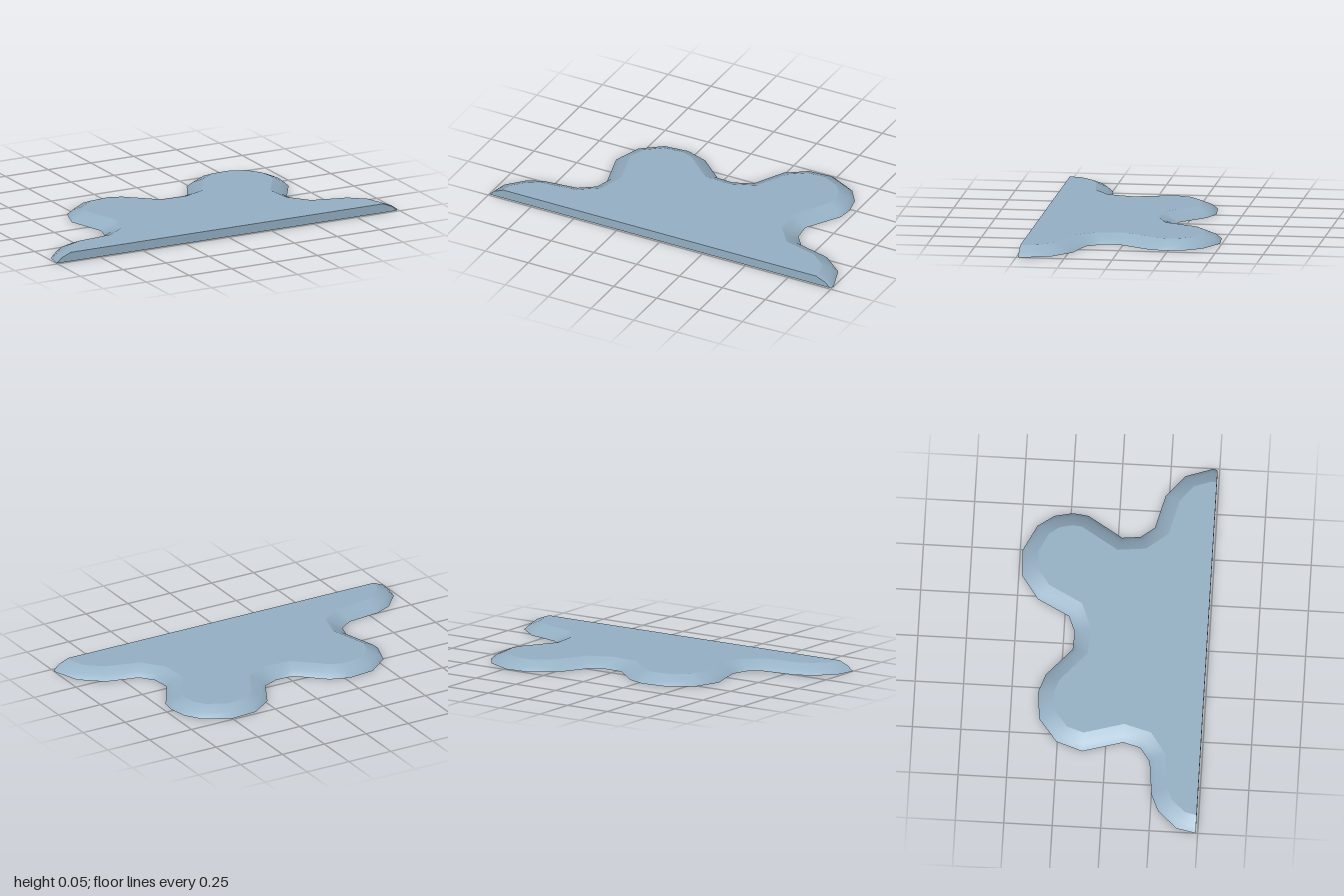
import * as THREE from 'three';

// Ground outline as x, z: from the left front corner around the back to the right
const OUTLINE = [
  [-1, .49], [-.98, .39], [-.89, .29], [-.8, .25], [-.62, .23], [-.55, .18], [-.525, .09],
  [-.585, -.12], [-.54, -.255], [-.42, -.35], [-.275, -.365], [-.175, -.33], [-.03, -.2],
  [.065, -.195], [.15, -.23], [.235, -.395], [.355, -.48], [.495, -.49], [.635, -.42],
  [.695, -.335], [.715, -.24], [.705, -.16], [.595, .02], [.605, .115], [.66, .185],
  [.835, .23], [.95, .325], [1, .47], [.99, .49],
].map(([x, z]) => new THREE.Vector2(x, z));
const FRONT = 0.49;

// Rim steps: height and how far the outline has moved inwards
const STEPS = [[0, 0], [.025, .028], [.048, .082]];

// Move the outline inwards along its mitred normals, keeping both ends on the front plane
function inset(d) {
  const last = OUTLINE.length - 1;
  return OUTLINE.map((p, i) => {
    if (i === 0) return new THREE.Vector2(p.x + d, FRONT);
    if (i === last) return new THREE.Vector2(p.x - d, FRONT);
    const a = p.clone().sub(OUTLINE[i - 1]).normalize();
    const b = OUTLINE[i + 1].clone().sub(p).normalize();
    const n = new THREE.Vector2(-a.y - b.y, a.x + b.x).normalize();
    const cos = Math.max(0.8, -n.x * a.y + n.y * a.x);
    const q = p.clone().addScaledVector(n, d / cos);
    q.y = Math.min(q.y, FRONT - 0.01);
    return q;
  });
}

function buildGeometry(positions, index) {
  const g = new THREE.BufferGeometry();
  g.setAttribute('position', new THREE.Float32BufferAttribute(positions, 3));
  g.setIndex(index);
  g.computeVertexNormals();
  return g;
}

// Flat face over one ring, facing up
function cap(ring, y) {
  const index = [];
  for (const [a, b, c] of THREE.ShapeUtils.triangulateShape(ring, [])) {
    const p = ring[a], q = ring[b], r = ring[c];
    const cross = (q.x - p.x) * (r.y - p.y) - (q.y - p.y) * (r.x - p.x);
    if (cross < 0) index.push(a, b, c);
    else index.push(a, c, b);
  }
  return buildGeometry(ring.flatMap(p => [p.x, y, p.y]), index);
}

export function createModel() {
  const group = new THREE.Group();
  group.name = 'scallopedPlate';
  // The plate is a thin shell, open underneath
  const material = new THREE.MeshStandardMaterial({ color: 0x96b1c5, side: THREE.DoubleSide });
  material.name = 'blue grey';
  const add = (name, geometry) => {
    const mesh = new THREE.Mesh(geometry, material);
    mesh.name = name;
    group.add(mesh);
  };

  const rings = STEPS.map(([, d]) => inset(d));
  const n = OUTLINE.length;

  // Rounded sloping rim
  const positions = rings.flatMap((ring, k) => ring.flatMap(p => [p.x, STEPS[k][0], p.y]));
  const index = [];
  for (let k = 0; k < rings.length - 1; k++) {
    for (let i = 0; i < n - 1; i++) {
      const a = k * n + i, b = a + 1, c = a + n, d = b + n;
      index.push(a, c, b, b, c, d);
    }
  }
  add('slopedRim', buildGeometry(positions, index));

  // Flat top
  add('topFace', cap(rings[2], STEPS[2][0]));

  // Straight cut front face
  const left = rings.map((r, k) => [r[0].x, STEPS[k][0]]);
  const right = rings.map((r, k) => [r[n - 1].x, STEPS[k][0]]).reverse();
  const face = new THREE.Shape([...left, ...right].map(([x, y]) => new THREE.Vector2(x, y)));
  add('frontFace', new THREE.ShapeGeometry(face).translate(0, 0, FRONT));

  return group;
}
